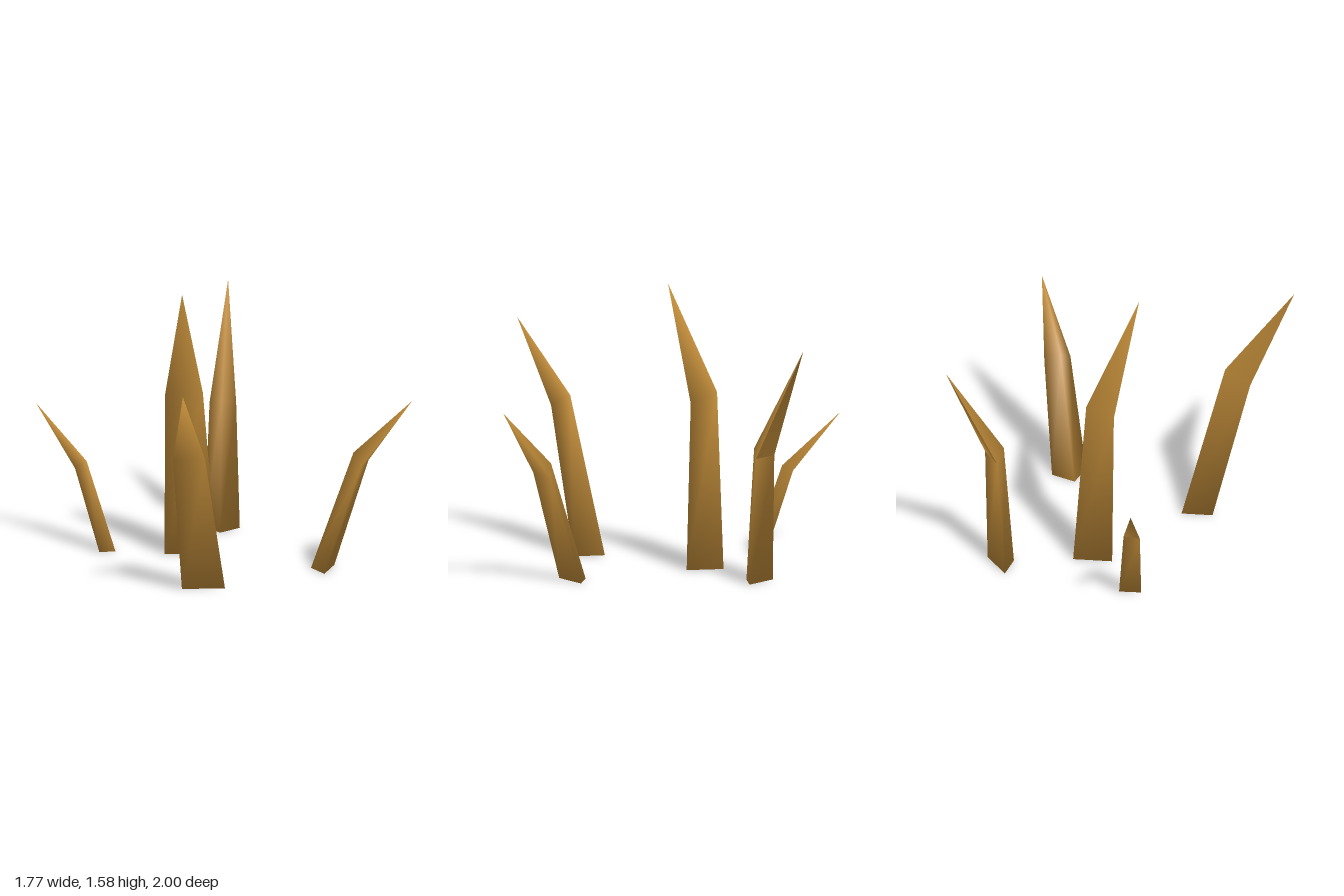
import * as THREE from 'three';

// Each blade: three base corners [x, z], three bend corners [x, y, z], one tip.
// Corners run counter-clockwise seen from above.
const BLADES = [
  { name: 'tallBlade',
    base: [[-0.305, -0.265], [-0.02, -0.2], [-0.12, -0.385]],
    bend: [[-0.305, 0.94, -0.25], [-0.1, 0.94, -0.197], [-0.17, 1.0, -0.33]],
    tip: [-0.285, 1.58, 0] },
  { name: 'frontRightBlade',
    base: [[-0.435, 0.47], [-0.2, 0.53], [-0.288, 0.375]],
    bend: [[-0.55, 0.81, 0.665], [-0.38, 0.82, 0.725], [-0.405, 0.88, 0.62]],
    tip: [-0.597, 1.27, 1] },
  { name: 'shortBlade',
    base: [[-0.64, -0.42], [-0.55, -0.4], [-0.537, -0.49]],
    bend: [[-0.74, 0.46, -0.555], [-0.675, 0.5, -0.545], [-0.668, 0.475, -0.612]],
    tip: [-0.887, 0.785, -0.82] },
  { name: 'backBlade',
    base: [[0.13, -0.605], [0.267, -0.67], [0.082, -0.745]],
    bend: [[0.158, 0.76, -0.66], [0.257, 0.72, -0.705], [0.12, 0.72, -0.767]],
    tip: [0.303, 1.36, -1] },
  { name: 'frontLeftBlade',
    base: [[0.392, 0.26], [0.425, 0.405], [0.537, 0.238]],
    bend: [[0.6, 0.69, 0.395], [0.612, 0.63, 0.495], [0.697, 0.63, 0.367]],
    tip: [0.887, 1.015, 0.58] },
];

// Closed three-sided spike whose corner normals average the faces meeting there
function bladeGeometry({ base, bend, tip }) {
  const points = [...base.map(([x, z]) => [x, 0, z]), ...bend, tip]
    .map((p) => new THREE.Vector3(...p));
  const faces = [[2, 1, 0]];
  for (let i = 0; i < 3; i++) {
    const j = (i + 1) % 3;
    faces.push([i, j, 3 + j, 3 + i], [3 + i, 3 + j, 6]);
  }
  const normals = points.map(() => new THREE.Vector3());
  const index = [];
  for (const f of faces) {
    const [a, b, c] = f.map((k) => points[k]);
    const n = b.clone().sub(a).cross(c.clone().sub(a)).normalize();
    f.forEach((k) => normals[k].add(n));
    for (let k = 2; k < f.length; k++) index.push(f[0], f[k - 1], f[k]);
  }
  const flat = (list) => list.flatMap((v) => v.toArray());
  const geometry = new THREE.BufferGeometry();
  geometry.setAttribute('position', new THREE.Float32BufferAttribute(flat(points), 3));
  geometry.setAttribute('normal',
    new THREE.Float32BufferAttribute(flat(normals.map((n) => n.normalize())), 3));
  geometry.setIndex(index);
  return geometry;
}

export function createModel() {
  const group = new THREE.Group();
  group.name = 'grassBlades';
  const material = new THREE.MeshStandardMaterial({ color: 0xc08b39 });
  material.name = 'dryGrass';
  for (const blade of BLADES) {
    const mesh = new THREE.Mesh(bladeGeometry(blade), material);
    mesh.name = blade.name;
    group.add(mesh);
  }
  return group;
}
